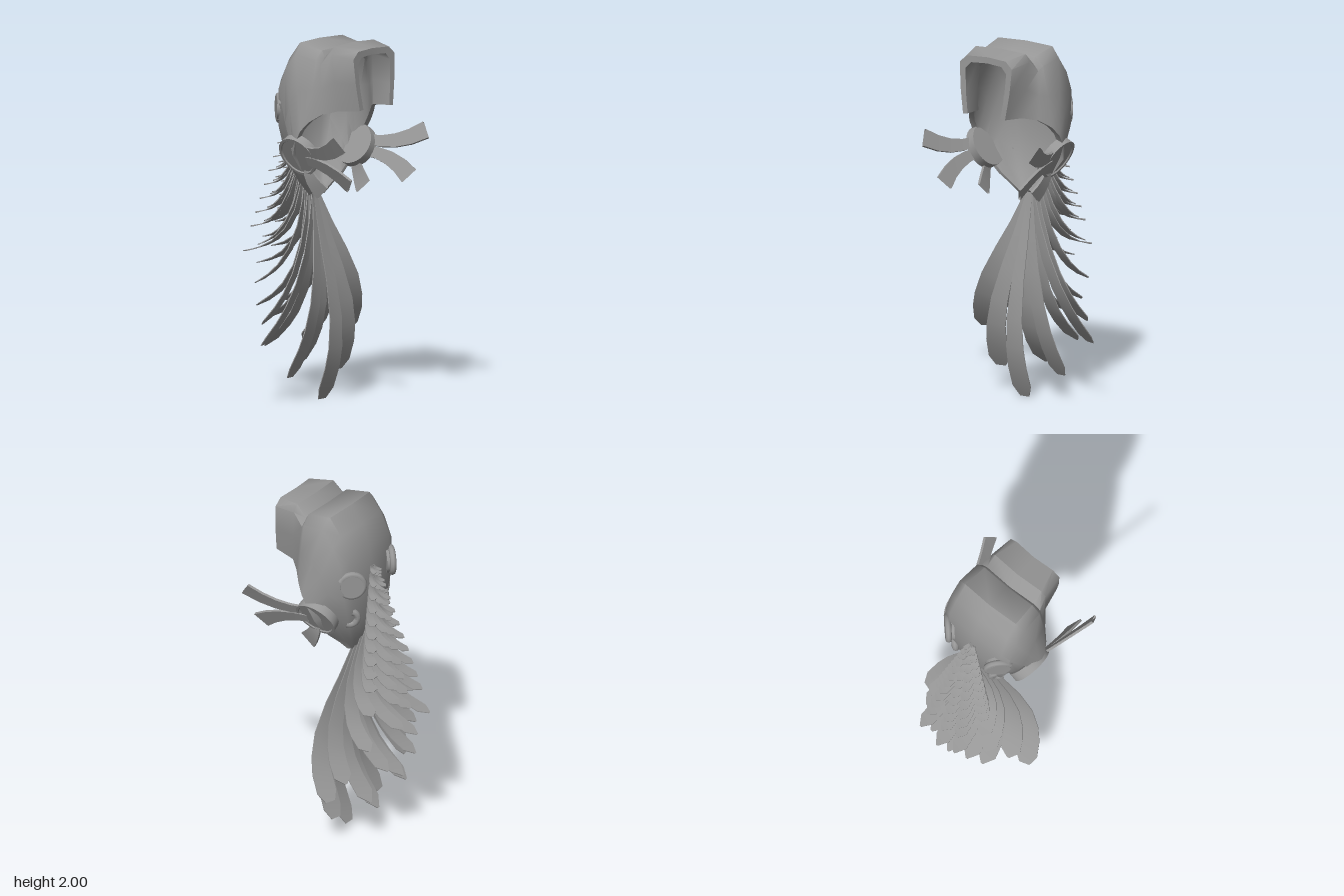
import * as THREE from 'three';
import { toCreasedNormals } from 'three/addons/utils/BufferGeometryUtils.js';

const material = new THREE.MeshStandardMaterial({ color: 0x969696, side: THREE.DoubleSide });
const V = (x, y, z) => new THREE.Vector3(x, y, z);

function addMesh(parent, name, geometry, crease = 0.6) {
  const mesh = new THREE.Mesh(toCreasedNormals(geometry, crease), material);
  mesh.name = name;
  parent.add(mesh);
  return mesh;
}

// Skin a list of closed rings that all have the same number of points
function loft(rings) {
  const n = rings[0].length, index = [];
  for (let i = 0; i < rings.length - 1; i++) {
    for (let j = 0; j < n; j++) {
      const a = i * n + j, b = i * n + (j + 1) % n;
      index.push(a, b, a + n, b, b + n, a + n);
    }
  }
  const geometry = new THREE.BufferGeometry().setFromPoints(rings.flat());
  geometry.setIndex(index);
  geometry.computeVertexNormals();
  return geometry;
}

// Flat blade following a curve; widths are [position along curve, half width]
function blade(curve, widths, across, thickness) {
  return loft(widths.map(([t, w]) => {
    const p = curve.getPoint(t), T = curve.getTangent(t);
    const W = across.clone().addScaledVector(T, -across.dot(T)).normalize();
    const N = V().crossVectors(T, W).multiplyScalar(thickness / 2);
    W.multiplyScalar(w);
    return [p.clone().add(W).add(N), p.clone().sub(W).add(N), p.clone().sub(W).sub(N), p.clone().add(W).sub(N)];
  }));
}

// Hood ribs from visor to chin: roof corner, edge of the face opening, sideways bulge between them
const RIBS = [
  [V(.13, 1.975, .37), V(.14, 1.65, .39), .042],
  [V(.165, 1.995, .23), V(.165, 1.64, .26), .026],
  [V(.17, 1.93, .165), V(.225, 1.62, .19), .03],
  [V(.17, 1.965, .145), V(.275, 1.58, .14), .04],
  [V(.18, 1.995, -.005), V(.3, 1.53, .1), .036],
  [V(.18, 1.9, -.08), V(.3, 1.46, .06), .04],
  [V(.185, 1.78, -.135), V(.28, 1.38, .03), .035],
  [V(.175, 1.56, -.15), V(.225, 1.31, .03), .035],
  [V(.13, 1.36, -.14), V(.16, 1.24, .02), .03],
  [V(.08, 1.22, -.1), V(.1, 1.18, -.01), .016],
  [V(.03, 1.13, -.06), V(.06, 1.13, -.035), .007],
];

function addHood(parent) {
  const rings = RIBS.map(([corner, edge, bulge]) => {
    const sides = [[.12, 1], [.55, .65]].map(([t, k]) => corner.clone().lerp(edge, t).add(V(bulge * k, 0, 0)));
    const half = [corner, ...sides, edge];
    const mirrored = half.map((p) => V(-p.x, p.y, p.z)).reverse();
    const outer = [...mirrored, V(0, corner.y + .005, corner.z - .01), ...half];
    const inner = outer.map((p, i) => {
      const rim = i === 0 || i === outer.length - 1;
      return V(p.x * (p.z > .2 ? .78 : .88), rim ? p.y + .005 : p.y - .06 * (p.y - 1.4), p.z + (rim || p.z > .1 ? 0 : .025));
    });
    return [...outer, ...inner.reverse()];
  });
  // End rings close the wall at the visor lip and the chin
  const lip = (ring) => ring.map((p, i) => p.clone().lerp(ring[ring.length - 1 - i], .5));
  addMesh(parent, 'hood', loft([lip(rings[0]), ...rings, lip(rings[rings.length - 1])]), 0.9);
}

// Group whose +z axis points along the outward normal, with y kept upward
function mount(parent, name, position, normal) {
  const group = new THREE.Group();
  group.name = name;
  group.position.copy(position);
  group.lookAt(position.clone().add(normal));
  parent.add(group);
  return group;
}

// Part of a ring, centred on an angle measured from the rear of the head
function addArc(group, name, s, radius, tube, sweep, centre) {
  const arc = addMesh(group, name, new THREE.TorusGeometry(radius, tube, 8, 24, sweep), 1);
  arc.rotation.z = (s > 0 ? centre : Math.PI - centre) - sweep / 2;
  return arc;
}

function addSide(parent, s) {
  const side = s > 0 ? 'left' : 'right';

  // Cheek disc with a thin rim
  const disc = mount(parent, side + 'CheekDisc', V(.238 * s, 1.385, .04), V(.87 * s, -.48, -.03));
  const profile = [[0, -.03], [.12, -.03], [.122, .022], [.108, .022], [.104, .015], [0, .015]];
  const plate = new THREE.LatheGeometry(profile.map(([r, y]) => new THREE.Vector2(r, y)), 32);
  addMesh(disc, 'cheekDisc', plate.rotateX(Math.PI / 2));

  // Three curved blades sweeping forward from the disc
  const paths = [
    [V(.26, 1.42, .1), V(.3, 1.39, .27), V(.37, 1.49, .432)],
    [V(.24, 1.36, .1), V(.275, 1.355, .27), V(.25, 1.25, .41)],
    [V(.2, 1.31, .07), V(.205, 1.25, .08), V(.17, 1.175, .15)],
  ];
  paths.forEach((points, i) => {
    const curve = new THREE.QuadraticBezierCurve3(...points.map((p) => V(p.x * s, p.y, p.z)));
    const widths = [0, .25, .5, .75, 1].map((t) => [t, .026 + .026 * t]);
    const across = i === 2 ? V(0, .45, .9) : V(.42 * s, .9, 0);
    addMesh(parent, side + 'CheekBlade' + (i + 1), blade(curve, widths, across, .014));
  });

  // Rear knob: thick plate with an open ring, the gap facing forward
  const knob = mount(parent, side + 'RearKnob', V(.175 * s, 1.62, -.148), V(.72 * s, 0, -.7));
  addMesh(knob, 'knobPlate', new THREE.CylinderGeometry(.064, .07, .05, 24).rotateX(Math.PI / 2));
  addArc(knob, 'knobRing', s, .067, .018, Math.PI * 1.6, .2).position.z = .008;

  // Small crescent below the knob
  const crescent = mount(parent, side + 'Crescent', V(.155 * s, 1.395, -.12), V(.75 * s, -.1, -.65));
  addArc(crescent, 'crescentArc', s, .042, .02, Math.PI * 1.05, -.4);
}

// Feather tips of the long lower layers: centre, inner and outer feathers
const TIPS = [
  [V(0, .005, 0), V(.2, .14, -.06), V(.345, .33, -.13)],
  [V(0, .16, -.2), V(.16, .29, -.27), V(.28, .43, -.19)],
  [V(0, .42, -.37), V(.125, .5, -.36), V(.21, .64, -.3)],
  [V(0, .71, -.465), V(.12, .79, -.46), V(.185, .85, -.3)],
  [V(0, .86, -.42), V(.105, .93, -.42), V(.155, .98, -.28)],
];
const LAYERS = 14;

// Upper layers shrink evenly from the last long layer to the nape
function tipOf(layer, column) {
  const u = Math.max(0, (layer - 4) / (LAYERS - 5));
  const top = V(column * .014, 1.62 + column * .01, -.22 + column * .01);
  return TIPS[Math.min(layer, 4)][column].clone().lerp(top, u);
}

function addPlume(parent) {
  const plume = new THREE.Group();
  plume.name = 'plume';
  parent.add(plume);
  for (let layer = 0; layer < LAYERS; layer++) {
    const u = layer / (LAYERS - 1), f = Math.min(1, layer / 4);
    const rootY = 1.14 + .53 * u, rootZ = -.05 - .11 * Math.min(1, u * 3.2);
    const half = layer < 4 ? .06 - .0055 * layer : THREE.MathUtils.lerp(.038, .012, (layer - 4) / (LAYERS - 5));
    for (let column = -2; column <= 2; column++) {
      const tip = tipOf(layer, Math.abs(column));
      tip.x *= Math.sign(column);
      const drop = rootY - tip.y;
      const bulge = (1 - f) * (1 - .2 * Math.abs(column));
      const curve = new THREE.CubicBezierCurve3(
        V(column * .008, rootY, rootZ),
        V(tip.x * .3, rootY - .38 * drop, rootZ + .08 * bulge),
        V(tip.x * .78, tip.y + drop * (.36 - .28 * f), rootZ + .27 * bulge - .06 * f * drop),
        tip);
      const widths = [[0, .25], [.2, .45], [.4, .65], [.6, .83], [.75, .93], [.85, 1], [.95, 1], [1, layer ? .12 : .5]]
        .map(([t, w]) => [t, w * half]);
      addMesh(plume, 'feather', blade(curve, widths, V(1, 0, .17 * column), .005));
    }
  }
}

export function createModel() {
  const model = new THREE.Group();
  model.name = 'plumedHood';
  addHood(model);
  for (const s of [1, -1]) addSide(model, s);
  addPlume(model);
  return model;
}
